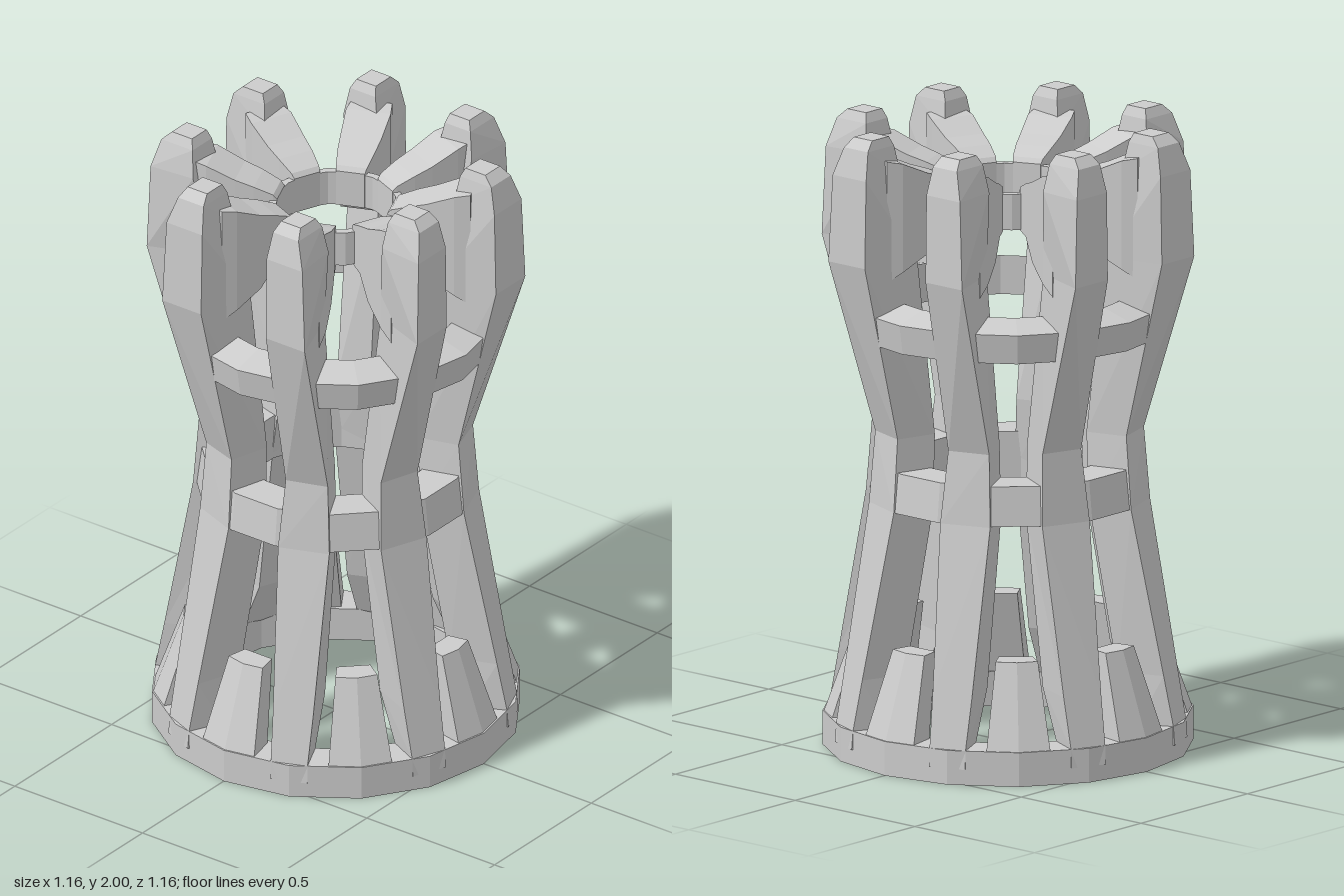
import * as THREE from 'three';

const material = new THREE.MeshStandardMaterial({ color: 0xcccccc, flatShading: true });

// Joins equal-length loops of points into a capped solid (loops counter-clockwise seen from the last one)
function loft(loops) {
  const pos = [];
  const tri = (a, b, c) => pos.push(...a, ...b, ...c);
  const n = loops[0].length;
  for (let s = 0; s + 1 < loops.length; s++) {
    const lo = loops[s], hi = loops[s + 1];
    for (let i = 0; i < n; i++) {
      const j = (i + 1) % n;
      tri(lo[i], lo[j], hi[j]);
      tri(lo[i], hi[j], hi[i]);
    }
  }
  const first = loops[0], last = loops[loops.length - 1];
  for (let i = 1; i + 1 < n; i++) {
    tri(first[0], first[i + 1], first[i]);
    tri(last[0], last[i], last[i + 1]);
  }
  const geometry = new THREE.BufferGeometry();
  geometry.setAttribute('position', new THREE.Float32BufferAttribute(pos, 3));
  geometry.computeVertexNormals();
  return geometry;
}

function part(name, geometry) {
  const mesh = new THREE.Mesh(geometry, material);
  mesh.name = name;
  return mesh;
}

// Sixteen-sided ring: outer bottom, outer top, inner top, inner bottom
function ring(name, profile, start = 0) {
  const points = [...profile, profile[0]].map(([r, y]) => new THREE.Vector2(r, y));
  return part(name, new THREE.LatheGeometry(points, 16, start));
}

// Pillar: height, then z, centre x and half width of the outer and of the inner edge, and slant of both.
// The slant turns the faces outward at the foot and square to the axes at the tip.
function pillarGeometry() {
  const sections = [
    [0.05, 0.53, 0.217, 0.055, 0.47, 0.175, 0.055, 0.41],
    [0.11, 0.526, 0.215, 0.055, 0.42, 0.165, 0.055, 0.41],
    [0.27, 0.495, 0.207, 0.06, 0.35, 0.15, 0.055, 0.41],
    [0.8, 0.398, 0.175, 0.078, 0.265, 0.12, 0.065, 0.38],
    [1.03, 0.378, 0.172, 0.066, 0.25, 0.12, 0.052, 0.33],
    [1.6, 0.53, 0.203, 0.076, 0.33, 0.145, 0.06, 0],
    [1.88, 0.525, 0.196, 0.07, 0.37, 0.185, 0.066, 0],
    [1.97, 0.505, 0.186, 0.05, 0.383, 0.186, 0.05, 0],
    [2.0, 0.475, 0.183, 0.038, 0.397, 0.183, 0.038, 0],
  ];
  return loft(sections.map(([y, zo, xo, wo, zi, xi, wi, t]) => [
    [xo - wo, y, zo + t * wo], [xo + wo, y, zo - t * wo],
    [xi + wi, y, zi - t * wi], [xi - wi, y, zi + t * wi],
  ]));
}

// Arm: distance from the axis, top, bottom, half width
function armGeometry() {
  const sections = [
    [0.45, 1.93, 1.54, 0.064],
    [0.4, 1.92, 1.57, 0.072],
    [0.31, 1.88, 1.62, 0.066],
    [0.25, 1.86, 1.69, 0.06],
    [0.19, 1.835, 1.695, 0.05],
    [0.178, 1.82, 1.7, 0.046],
  ];
  return loft(sections.map(([r, top, bottom, w]) => [
    [w, bottom, r], [-w, bottom, r], [-w, top, r], [w, top, r],
  ])).rotateY(Math.PI / 8);
}

// Tapered plate leaning inward from the base: height, half width, outer and inner distance
function plateGeometry() {
  const sections = [
    [0.05, 0.105, 0.579, 0.47],
    [0.11, 0.1, 0.575, 0.46],
    [0.375, 0.066, 0.48, 0.4],
  ];
  return loft(sections.map(([y, w, zo, zi]) => [
    [-w, y, zo - w * 0.2], [0, y, zo], [w, y, zo - w * 0.2], [w * 0.8, y, zi], [-w * 0.8, y, zi],
  ]));
}

export function createModel() {
  const model = new THREE.Group();
  model.name = 'openworkTower';

  // Horizontal rings
  model.add(
    ring('baseRing', [[0.58, 0], [0.58, 0.11], [0.46, 0.11], [0.46, 0]]),
    ring('waistRing', [[0.436, 0.8], [0.42, 0.925], [0.295, 0.925], [0.295, 0.775]], Math.PI / 16),
    ring('middleRing', [[0.495, 1.34], [0.51, 1.435], [0.4, 1.465], [0.4, 1.34]]),
    ring('innerRing', [[0.212, 1.7], [0.212, 1.815], [0.188, 1.815], [0.188, 1.7]]),
  );

  // Eight pillars with inward arms, as four mirrored pairs
  const pillar = pillarGeometry(), arm = armGeometry();
  for (let i = 0; i < 4; i++) {
    for (const side of [1, -1]) {
      const support = new THREE.Group();
      support.name = 'support';
      support.add(part('pillar', pillar), part('arm', arm));
      support.scale.x = side;
      support.rotation.y = i * Math.PI / 2;
      model.add(support);
    }
  }

  // Eight plates between the pillar feet
  const plate = plateGeometry();
  for (let i = 0; i < 8; i++) {
    const mesh = part('basePlate', plate);
    mesh.rotation.y = i * Math.PI / 4;
    model.add(mesh);
  }
  return model;
}
